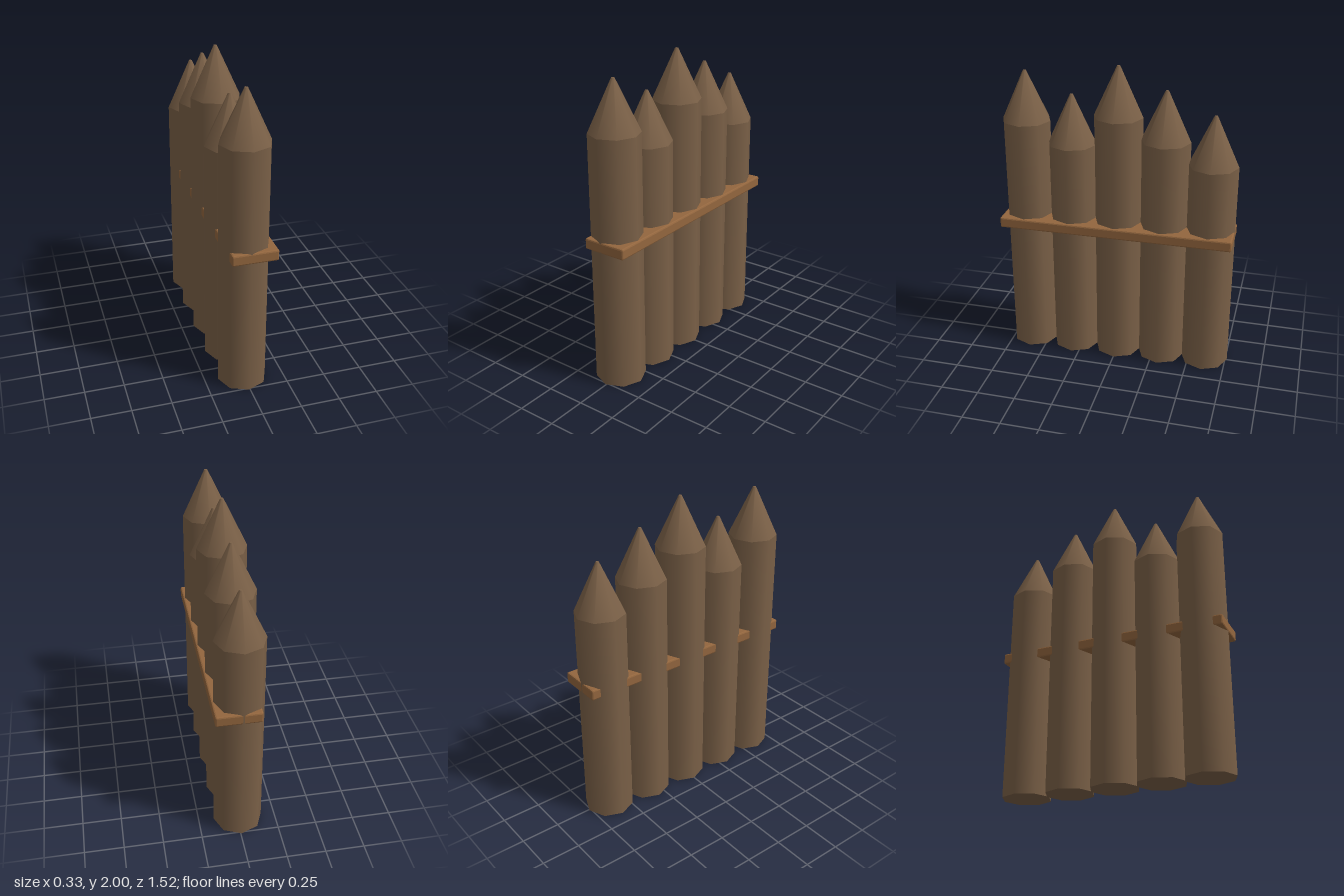
import * as THREE from 'three';
import { RoundedBoxGeometry } from 'three/addons/geometries/RoundedBoxGeometry.js';

export function createModel() {
  const group = new THREE.Group();
  group.name = 'palisade';
  const logWood = new THREE.MeshStandardMaterial({ color: 0x7a6047 });
  logWood.name = 'log brown';
  const railWood = new THREE.MeshStandardMaterial({ color: 0x93663e });
  railWood.name = 'rail brown';

  const radius = 0.158, tipHeight = 0.32, spacing = 0.302, logX = -0.007;
  const shoulders = [1.41, 1.545, 1.68, 1.48, 1.613]; // back to front

  // Sharpened eight-sided logs: shaft plus blunt conical point
  shoulders.forEach((h, i) => {
    const log = new THREE.Group();
    log.name = `log${i + 1}`;
    const shaft = new THREE.Mesh(new THREE.CylinderGeometry(radius, radius, h, 8), logWood);
    shaft.name = 'shaft';
    shaft.position.y = h / 2;
    const point = new THREE.Mesh(new THREE.CylinderGeometry(0.01, radius, tipHeight, 8), logWood);
    point.name = 'point';
    point.position.y = h + tipHeight / 2;
    log.add(shaft, point);
    log.position.set(logX, 0, (i - 2) * spacing);
    group.add(log);
  });

  // Chamfered cross rail, offset towards +x
  const railGeometry = new RoundedBoxGeometry(0.288, 0.07, 1.522, 1, 0.01);
  railGeometry.computeVertexNormals();
  const rail = new THREE.Mesh(railGeometry, railWood);
  rail.name = 'crossRail';
  rail.position.set(0.019, 0.942, 0.001);
  group.add(rail);

  return group;
}
